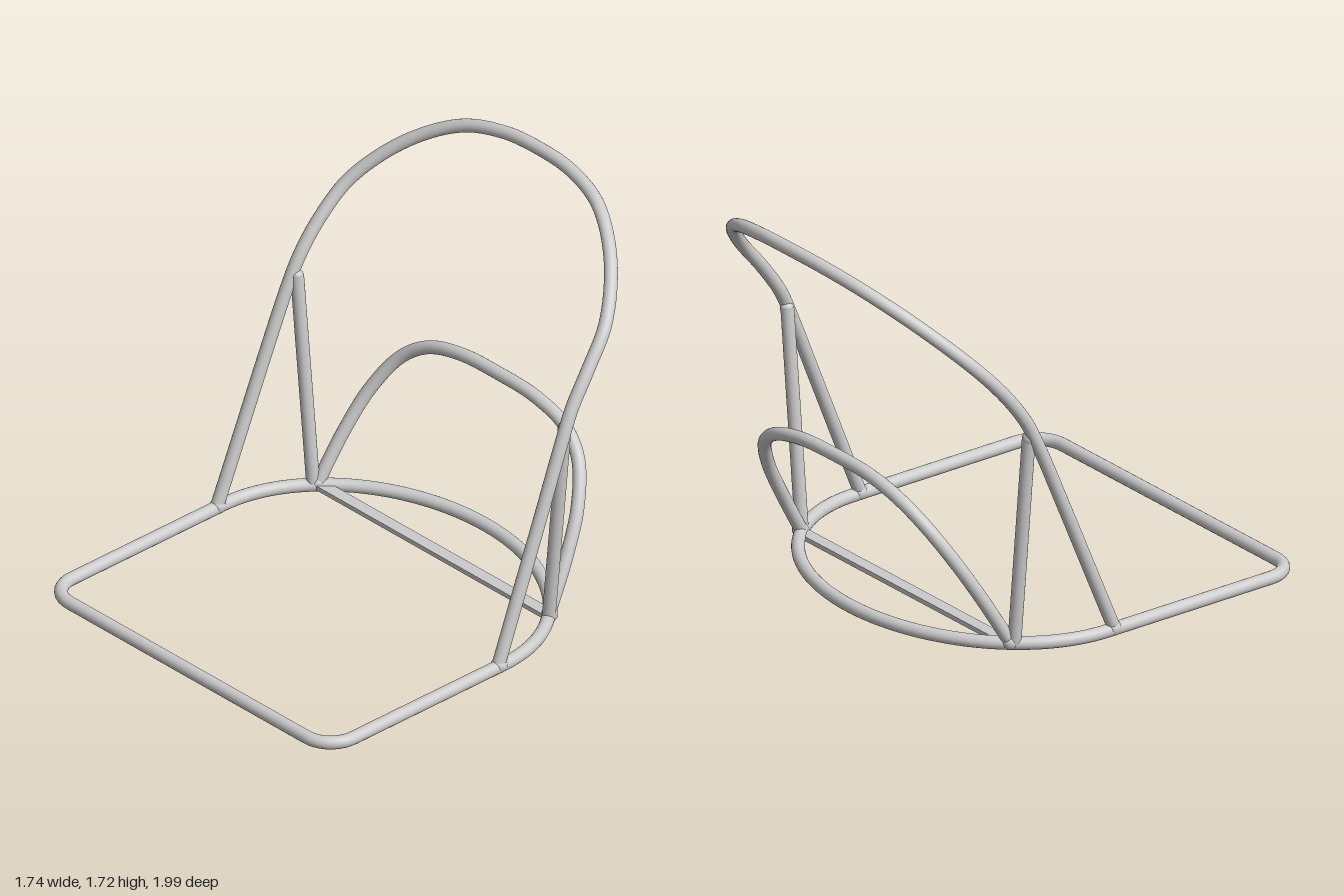
import * as THREE from 'three';

const R = 0.028; // tube radius
const material = new THREE.MeshStandardMaterial({ color: 0xcccccc });
const vec = (p) => new THREE.Vector3(...p);

function addMesh(parent, name, geometry) {
  const mesh = new THREE.Mesh(geometry, material);
  mesh.name = name;
  parent.add(mesh);
  return mesh;
}

// Straight rod between two points
function addRod(parent, name, a, b) {
  addMesh(parent, name, new THREE.TubeGeometry(new THREE.LineCurve3(vec(a), vec(b)), 1, R, 20));
}

// Small weld bead at a joint
function addWeld(parent, name, p, radius = 0.034) {
  addMesh(parent, name, new THREE.SphereGeometry(radius, 20, 12)).position.set(...p);
}

// Symmetric hoop: half is listed from the right-side foot (+x) to the middle of the top
function addHoop(parent, name, half) {
  const mirrored = half.slice(0, -1).reverse().map(([x, y, z]) => [-x, y, z]);
  const curve = new THREE.CatmullRomCurve3([...half, ...mirrored].map(vec));
  addMesh(parent, name, new THREE.TubeGeometry(curve, 140, R, 20));
}

// Closed floor loop: straight front with rounded corners, elliptical back
function floorLoop() {
  const w = 0.835, front = 0.97, r = 0.13, back = 0.67;
  const path = new THREE.Path();
  path.moveTo(w, 0);
  path.lineTo(w, front - r);
  path.absarc(w - r, front - r, r, 0, Math.PI / 2, false);
  path.lineTo(-w + r, front);
  path.absarc(-w + r, front - r, r, Math.PI / 2, Math.PI, false);
  path.lineTo(-w, 0);
  path.absellipse(0, 0, w, back, Math.PI, Math.PI * 2, false);
  const points = path.getSpacedPoints(160).slice(0, -1);
  const curve = new THREE.CatmullRomCurve3(points.map((p) => new THREE.Vector3(p.x, 0.03, p.y)), true);
  return new THREE.TubeGeometry(curve, 240, R, 20, true);
}

export function createModel() {
  const chair = new THREE.Group();
  chair.name = 'chairFrame';

  addMesh(chair, 'floorLoop', floorLoop());

  // Tall back hoop, leaning back and bending further at mid height
  addHoop(chair, 'backHoop', [
    [0.835, 0.035, 0.035], [0.829, 0.34, -0.09], [0.823, 0.65, -0.217], [0.815, 0.93, -0.333],
    [0.808, 1.06, -0.395], [0.797, 1.2, -0.495], [0.76, 1.35, -0.628], [0.615, 1.52, -0.79],
    [0.41, 1.64, -0.91], [0.2, 1.686, -0.957], [0, 1.695, -0.967],
  ]);

  // Low rear hoop
  addHoop(chair, 'rearHoop', [
    [0.685, 0.05, -0.39], [0.662, 0.24, -0.5], [0.618, 0.42, -0.605], [0.53, 0.575, -0.69],
    [0.41, 0.662, -0.728], [0.23, 0.71, -0.74], [0, 0.72, -0.742],
  ]);

  // Upright struts and weld beads on both sides
  for (const [side, s] of [['left', 1], ['right', -1]]) {
    addRod(chair, side + 'Strut', [s * 0.7, 0.04, -0.37], [s * 0.795, 0.99, -0.37]);
    addWeld(chair, side + 'BackFootWeld', [s * 0.835, 0.036, 0.03]);
    addWeld(chair, side + 'RearFootWeld', [s * 0.69, 0.038, -0.385]);
    addWeld(chair, side + 'StrutTopWeld', [s * 0.797, 0.98, -0.37], 0.029);
  }

  // Flat crossbar between the strut feet
  addMesh(chair, 'crossbar', new THREE.BoxGeometry(1.37, 0.02, 0.055)).position.set(0, 0.03, -0.387);

  return chair;
}
